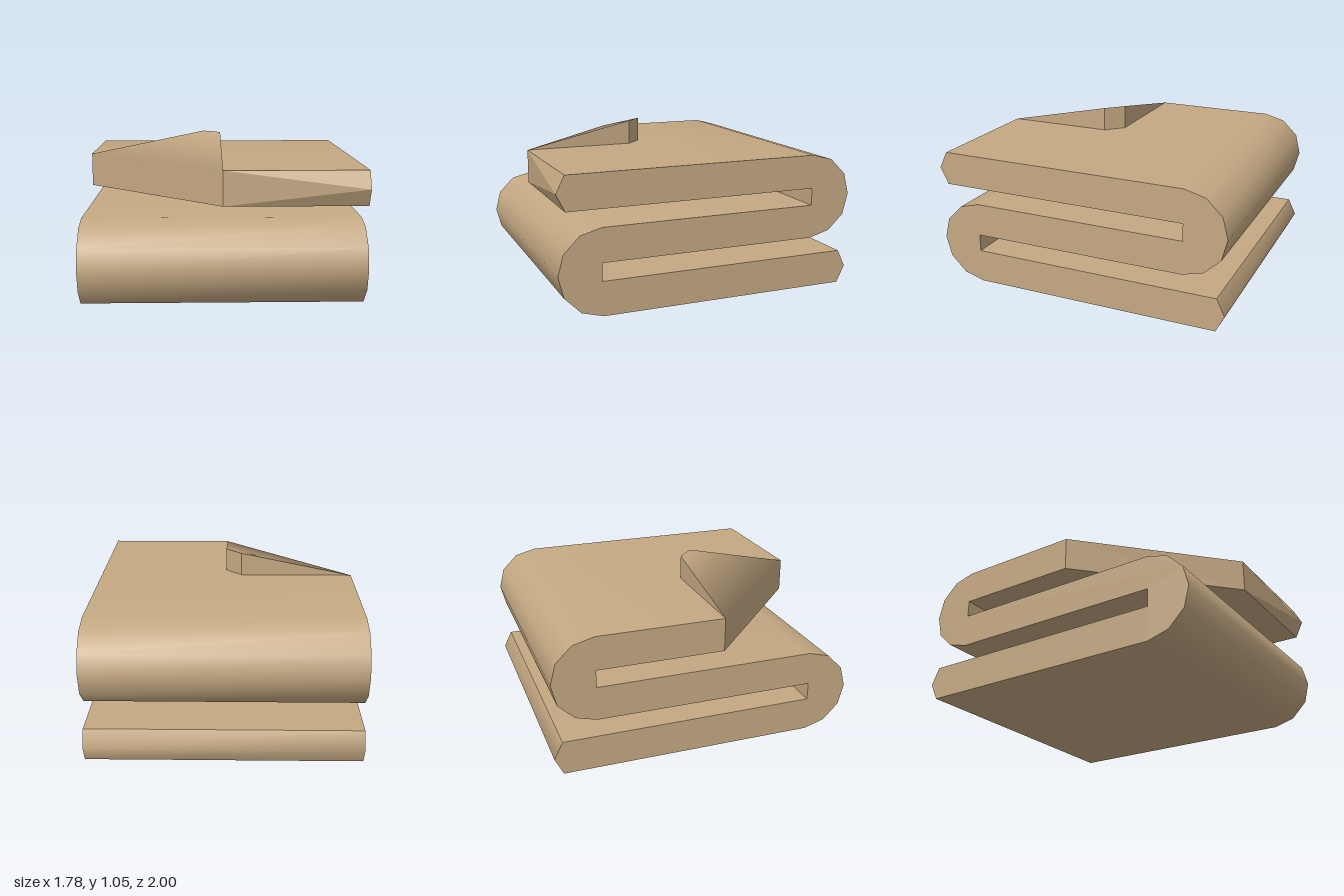
import * as THREE from 'three';
import { toCreasedNormals } from 'three/addons/utils/BufferGeometryUtils.js';
import { ConvexGeometry } from 'three/addons/geometries/ConvexGeometry.js';

const HALF = 0.89;           // half width
const TOP = 0.89, UNDER = 0.67; // top layer heights
const CUT = 0.11, EDGE = 0.945; // z where the turned corner starts, z of front edge

const shapeOf = (pts) => new THREE.Shape(pts.map(([a, b]) => new THREE.Vector2(a, b)));
const hull = (pts) => new ConvexGeometry(pts.map((p) => new THREE.Vector3(...p)));

export function createModel() {
  const group = new THREE.Group();
  const cloth = new THREE.MeshStandardMaterial({ color: 0xc4a882 });
  cloth.name = 'tan cloth';
  const add = (name, geometry) => {
    const mesh = new THREE.Mesh(geometry, cloth);
    mesh.name = name;
    group.add(mesh);
  };

  // S-shaped side profile (z, y), ending where the top corner is turned over
  const profile = [
    [-1, 0.11], [-EDGE, 0], [0.72, 0], [0.86, 0.04], [0.965, 0.145], [1, 0.28],
    [0.965, 0.415], [0.86, 0.52], [0.72, 0.557], [-0.72, 0.557], [-0.72, UNDER],
    [CUT, UNDER], [CUT, TOP], [-0.72, TOP], [-0.86, 0.853], [-0.965, 0.75],
    [-1, 0.613], [-0.965, 0.475], [-0.86, 0.375], [-0.72, 0.337],
    [0.725, 0.337], [0.725, 0.222], [-EDGE, 0.222],
  ];
  const folds = new THREE.ExtrudeGeometry(shapeOf(profile), { depth: 2 * HALF, bevelEnabled: false });
  folds.rotateY(-Math.PI / 2).translate(HALF, 0, 0);
  add('foldedLayers', toCreasedNormals(folds, THREE.MathUtils.degToRad(58)));

  // Front of the top layer, cut along the diagonal crease
  const slab = new THREE.ExtrudeGeometry(
    shapeOf([[-HALF, CUT], [HALF, CUT], [HALF, EDGE], [0, EDGE]]),
    { depth: TOP - UNDER, bevelEnabled: false });
  slab.rotateX(Math.PI / 2).translate(0, TOP, 0);
  add('topLayerFront', slab);

  // Pointed front edge that fades out at the crease
  add('topLayerEdge', hull([
    [0, TOP, EDGE], [0, UNDER, EDGE], [HALF, TOP, EDGE], [HALF, UNDER, EDGE], [HALF, 0.78, 1],
  ]));

  // Turned-over corner: a wedge rising from the crease to a clipped corner
  const flap = hull([
    [-HALF, TOP, CUT], [0, TOP, EDGE],
    [-0.11, 1.05, CUT], [0, 1.05, 0.22], [-0.11, TOP, CUT], [0, TOP, 0.22],
  ]);
  // Round the sloping face into the crease
  const outward = new THREE.Vector3(CUT - EDGE, 0, HALF).normalize();
  const pos = flap.attributes.position, nor = flap.attributes.normal;
  for (let i = 0; i < pos.count; i++) {
    if (nor.getY(i) > 0.5 && pos.getY(i) < TOP + 0.01) nor.setXYZ(i, outward.x, outward.y, outward.z);
  }
  add('turnedCorner', flap);

  return group;
}
